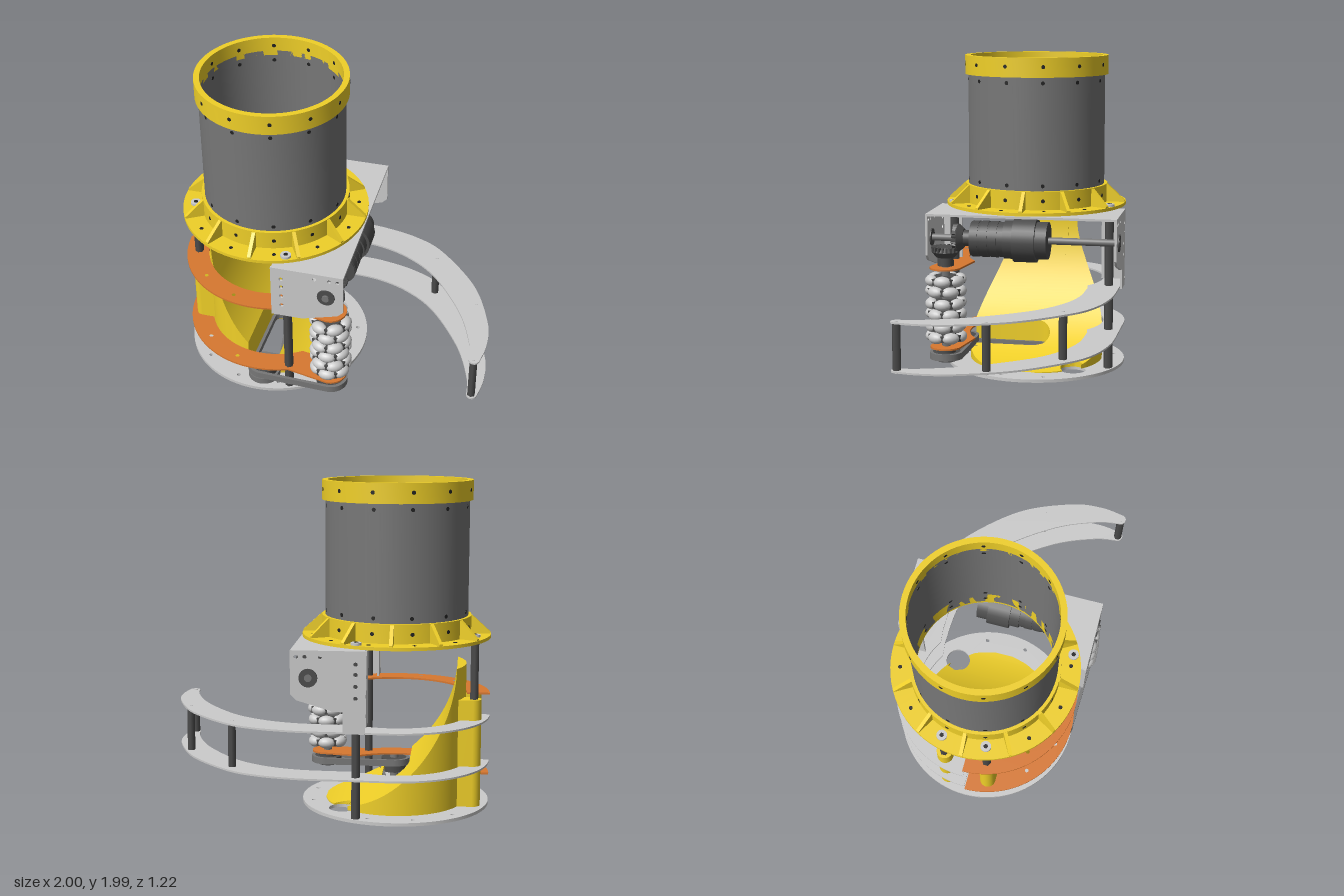
import * as THREE from 'three';
import { toCreasedNormals } from 'three/addons/utils/BufferGeometryUtils.js';

const CX = -0.425, CZ = -0.01; // main axis
const PI = Math.PI;
const mat = (color, side = THREE.FrontSide) => new THREE.MeshStandardMaterial({ color, side });
const grey = mat(0xcccccc), steel = mat(0x777777), dark = mat(0x4c4c4c), black = mat(0x222222);
const yellow = mat(0xf0d028), yellow2 = mat(0xf0d028, THREE.DoubleSide), orange = mat(0xd87830);

export function createModel() {
  const root = new THREE.Group();
  const add = (name, geo, m, x = 0, y = 0, z = 0) => {
    const mesh = new THREE.Mesh(geo, m);
    mesh.name = name;
    mesh.position.set(x, y, z);
    root.add(mesh);
    return mesh;
  };
  const crease = (g) => toCreasedNormals(g, 0.6);
  const post = (name, x, z, y0, y1, r, m, seg = 24, rTop = r) =>
    add(name, new THREE.CylinderGeometry(rTop, r, y1 - y0, seg), m, x, (y0 + y1) / 2, z);
  const axle = (name, z0, z1, r0, r1, m, seg = 32) => {
    const c = add(name, new THREE.CylinderGeometry(r1, r0, z1 - z0, seg), m, 0.05, 0.877, (z0 + z1) / 2);
    c.rotation.x = PI / 2;
  };
  const circle = (x, y, r) => new THREE.Path().absarc(x, y, r, 0, 2 * PI, true);
  // horizontal plate: the shape is drawn in (x, z)
  const plate = (name, shape, y, t, m) => {
    const g = new THREE.ExtrudeGeometry(shape, { depth: t, bevelEnabled: false, curveSegments: 40 });
    return add(name, crease(g.rotateX(PI / 2)), m, 0, y + t, 0);
  };
  // ring of rectangular section about the main axis
  const ring = (name, r0, r1, y0, y1, m) => {
    const p = [[r0, y0], [r1, y0], [r1, y1], [r0, y1], [r0, y0]].map((a) => new THREE.Vector2(...a));
    add(name, crease(new THREE.LatheGeometry(p, 72)), m, CX, 0, CZ);
  };

  // tube, top rim and ribbed mounting flange
  ring('tube', 0.42, 0.435, 1.06, 1.9, steel);
  ring('topRim', 0.42, 0.455, 1.87, 1.99, yellow);
  ring('flangeCollar', 0.42, 0.455, 1.04, 1.175, yellow);
  ring('flangeDisc', 0.42, 0.575, 1.04, 1.06, yellow);
  const ribShape = new THREE.Shape([[0.445, 1.05], [0.572, 1.05], [0.572, 1.07], [0.46, 1.172], [0.445, 1.172]]
    .map((a) => new THREE.Vector2(...a)));
  for (let i = 0; i < 12; i++) {
    const g = new THREE.ExtrudeGeometry(ribShape, { depth: 0.022, bevelEnabled: false }).translate(0, 0, -0.011);
    add('flangeRib', g, yellow, CX, 0, CZ).rotation.y = i * PI / 6;
    const a = (i + 0.5) * PI / 6;
    // screw holes around the tube and rims
    for (const [y, r] of [[1.115, 0.4375], [1.205, 0.4275], [1.835, 0.4275], [1.935, 0.4375]]) {
      const t = r > 0.43 ? 0.038 : 0.018;
      const h = add('screwHole', new THREE.CylinderGeometry(0.012, 0.012, t, 12), black,
        CX + r * Math.cos(a), y, CZ + r * Math.sin(a));
      h.rotation.set(0, -a, PI / 2);
    }
    post('flangeHole', CX + 0.515 * Math.cos(a), CZ + 0.515 * Math.sin(a), 1.038, 1.062, 0.012, black, 12);
  }

  // base plate
  const base = new THREE.Shape().absarc(CX, CZ, 0.575, 0, 2 * PI, false);
  base.holes.push(circle(CX, CZ, 0.27), circle(-0.12, -0.3, 0.08));
  for (let i = 0; i < 12; i++) {
    const a = (i + 0.5) * PI / 6;
    if (i !== 10) base.holes.push(circle(CX + 0.515 * Math.cos(a), CZ + 0.515 * Math.sin(a), 0.012));
  }
  plate('basePlate', base, 0, 0.02, grey);

  // curved ramp: round plan under a concave profile, with a belt slot and a round hole
  const R = 0.43, SX = -0.42, SR = 0.09, HX = -0.12, HZ = -0.3, HR = 0.08, B = 0.02;
  const height = (x) => {
    const t = Math.min(1, Math.max(0, -x / 0.8));
    return B + 0.005 + 0.85 * (1 - Math.pow(1 - Math.pow(t, 1.9), 1 / 1.9));
  };
  const half = (x, r, c) => Math.sqrt(Math.max(0, r * r - (x - c) ** 2));
  const spans = (x, xm) => {
    const w = half(x, R, CX), e = [CZ - w];
    if (Math.abs(xm - HX) < HR) {
      const s = half(x, HR, HX);
      e.push(Math.max(e[0], HZ - s), Math.max(e[0], HZ + s));
    }
    e.push(Math.abs(xm - SX) < SR ? CZ - half(x, SR, SX) : CZ + w);
    return e;
  };
  const pos = [];
  const quad = (a, b, c, d) => pos.push(...a, ...b, ...c, ...a, ...c, ...d);
  const xs = [SX - SR, SX + SR, HX - HR, HX + HR];
  for (let i = 0; i < 8; i++) xs.push(CX - R + 0.055 * (i / 8) ** 2);
  for (let i = 0; i <= 56; i++) xs.push(-0.8 * Math.cos(i / 56 * PI / 2));
  xs.sort((a, b) => a - b);
  // the part beyond the slot is just a gap, open to the front
  for (let i = 0; i + 1 < xs.length; i++) {
    const x0 = xs[i], x1 = xs[i + 1], xm = (x0 + x1) / 2;
    if (x1 - x0 < 1e-6) continue;
    const p = spans(x0, xm), q = spans(x1, xm), h0 = height(x0), h1 = height(x1);
    for (let k = 0; k < p.length; k += 2) {
      if (p[k + 1] - p[k] + q[k + 1] - q[k] < 1e-4) continue;
      quad([x0, h0, p[k]], [x0, h0, p[k + 1]], [x1, h1, q[k + 1]], [x1, h1, q[k]]);
      quad([x0, B, p[k + 1]], [x1, B, q[k + 1]], [x1, h1, q[k + 1]], [x0, h0, p[k + 1]]);
      quad([x1, B, q[k]], [x0, B, p[k]], [x0, h0, p[k]], [x1, h1, q[k]]);
    }
  }
  for (const s of [-1, 1]) {
    const x = SX + s * SR, z = CZ + half(x, R, CX), h = height(x);
    const c = [[x, B, CZ], [x, h, CZ], [x, h, z], [x, B, z]];
    quad(...(s < 0 ? c : c.reverse()));
  }
  const rampGeo = new THREE.BufferGeometry();
  rampGeo.setAttribute('position', new THREE.Float32BufferAttribute(pos, 3));
  add('ramp', crease(rampGeo), yellow2);
  // stiffening ribs below the ramp
  for (let i = 0; i < 16; i++) {
    const a = i * PI / 8;
    if (Math.abs(a - PI / 2) < 0.5) continue;
    const g = new THREE.PlaneGeometry(0.25, 1, 8, 1), v = g.attributes.position;
    for (let j = 0; j < v.count; j++) {
      const r = v.getX(j) + 0.285, x = CX + r * Math.cos(a), top = height(x) - 0.004;
      v.setXYZ(j, x, v.getY(j) > 0 ? top : Math.min(top, 0.04), CZ + r * Math.sin(a));
    }
    g.computeVertexNormals();
    add('rampRib', g, yellow2);
  }
  // sleeves on the ramp's outer wall
  for (const z of [-0.15, 0.12]) {
    post('postSleeve', -0.9, z, 0.02, 0.68, 0.05, yellow);
    add('sleeveWeb', new THREE.BoxGeometry(0.1, 0.66, 0.1), yellow, -0.85, 0.35, z);
  }

  // frame posts with their bolt heads
  for (const [x, z, y0] of [[-0.905, -0.15, 0.68], [-0.905, 0.12, 0.68], [-0.22, -0.51, 0.02], [-0.22, 0.485, 0.02]]) {
    post('framePost', x, z, y0, 1.04, 0.028, dark, 6);
    post('boltHead', x, z, 1.06, 1.075, 0.032, grey, 20);
    post('boltSocket', x, z, 1.07, 1.077, 0.014, black, 6);
  }

  // orange brackets that carry the roller column
  const arc = new THREE.Shape();
  arc.absarc(CX, CZ, 0.575, PI, 1.2, true);
  arc.absarc(0.05, 0.48, 0.1, 1.6, -1.2, true);
  arc.absarc(CX, CZ, 0.435, 0.95, PI, false);
  arc.holes.push(circle(-0.78, 0.35, 0.012), circle(-0.56, 0.487, 0.012));
  for (const y of [0.175, 0.68]) plate('rollerBracket', arc, y, 0.011, orange);

  // long curved guide arms and spacers
  const vec = (l) => l.map((a) => new THREE.Vector2(...a));
  const arm = new THREE.Shape();
  arm.absarc(CX, CZ, 0.575, PI, 1.5 * PI, false);
  arm.lineTo(0, -0.58);
  arm.splineThru(vec([[0.15, -0.57], [0.37, -0.52], [0.57, -0.41], [0.83, -0.12], [0.97, 0.2], [0.998, 0.4], [0.98, 0.55]]));
  arm.absarc(0.948, 0.548, 0.032, 0.1, 2.9, false);
  arm.splineThru(vec([[0.89, 0.4], [0.78, 0.14], [0.57, -0.15], [0.37, -0.3], [0.15, -0.375], [-0.1, -0.39]]));
  arm.absarc(CX, CZ, 0.44, -1.0, -PI, true);
  for (const y of [0.26, 0.545]) plate('guideArm', arm, y, 0.011, grey);
  for (const [x, z] of [[0.545, -0.34], [0.875, 0.045], [0.945, 0.548]]) {
    post('armSpacer', x, z, 0.27, 0.546, 0.025, dark, 6);
    post('spacerScrew', x, z, 0.25, 0.558, 0.012, grey, 12);
  }

  // drive bracket: top plate, two end plates and inner flanges
  const top = new THREE.Shape();
  top.moveTo(-0.28, -0.6).lineTo(0.155, -0.6).lineTo(0.155, 0.58).lineTo(-0.28, 0.58);
  top.absarc(CX, CZ, 0.425, 1.22, -1.22, true);
  plate('driveTopPlate', top, 1.024, 0.014, grey);
  const outline = [[-0.29, 0.68], [-0.1, 0.68], [0.12, 0.745], [0.155, 0.78], [0.155, 1.038], [-0.29, 1.038]];
  const tab = [[-0.28, 0.55], [-0.15, 0.55], [-0.15, 0.68]];
  for (const [z, pts] of [[0.568, outline], [-0.602, [...tab, ...outline.slice(1)]]]) {
    const s = new THREE.Shape(vec(pts));
    s.holes.push(circle(0.05, 0.877, 0.055));
    for (const y of [0.76, 0.83, 0.9, 0.96]) s.holes.push(circle(-0.225, y, 0.013));
    for (const x of [-0.02, 0.07, 0.12]) s.holes.push(circle(x, 1.0, 0.012));
    add('driveEndPlate', crease(new THREE.ExtrudeGeometry(s, { depth: 0.014, bevelEnabled: false })), grey, 0, 0, z);
  }
  add('frontInnerFlange', new THREE.BoxGeometry(0.014, 0.35, 0.12), grey, -0.28, 0.86, 0.51);
  add('backInnerFlange', new THREE.BoxGeometry(0.014, 0.44, 0.14), grey, -0.28, 0.81, -0.525);

  // drive shaft, motor and bevel gears
  axle('driveShaft', -0.61, 0.6, 0.022, 0.022, steel);
  for (const z of [-0.595, 0.575]) axle('shaftBearing', z - 0.014, z + 0.014, 0.054, 0.054, dark);
  axle('gearbox', 0.1, 0.31, 0.108, 0.108, dark);
  for (const z of [0.16, 0.22, 0.28]) axle('gearboxBand', z - 0.022, z + 0.022, 0.112, 0.112, dark);
  axle('gearboxNeck', 0.04, 0.1, 0.118, 0.118, dark);
  axle('motorCollar', -0.1, 0.04, 0.136, 0.136, dark);
  axle('motorCap', -0.17, -0.1, 0.115, 0.115, dark);
  axle('bevelHub', 0.31, 0.37, 0.05, 0.05, dark);
  axle('bevelGear', 0.36, 0.395, 0.06, 0.088, dark);
  axle('bevelFace', 0.395, 0.425, 0.088, 0.055, dark);
  const WX = 0.05, WZ = 0.48;
  post('bevelHub', WX, WZ, 0.7, 0.77, 0.05, dark);
  post('bevelGear', WX, WZ, 0.755, 0.79, 0.06, dark, 32, 0.088);
  post('bevelFace', WX, WZ, 0.79, 0.82, 0.088, dark, 32, 0.055);
  for (let i = 0; i < 20; i++) {
    const a = i * PI / 10, c = Math.cos(a) * 0.072, s = Math.sin(a) * 0.072;
    const t = new THREE.BoxGeometry(0.034, 0.03, 0.011);
    add('bevelTooth', t, dark, WX + c, 0.805, WZ + s).rotation.y = -a;
    add('bevelTooth', t, dark, WX + c, 0.877 + s, 0.41).rotation.set(PI / 2, -a, 0);
  }

  // column of omni-directional rollers
  post('rollerShaft', WX, WZ, 0.09, 0.78, 0.028, steel, 6);
  const roller = new THREE.SphereGeometry(1, 16, 12).scale(0.038, 0.036, 0.056);
  [0.61, 0.542, 0.464, 0.396, 0.318, 0.25].forEach((y, k) => {
    post('rollerHub', WX, WZ, y - 0.026, y + 0.026, 0.075, dark);
    for (let i = 0; i < 6; i++) {
      const a = (i + (k % 2) / 2) * PI / 3;
      add('roller', roller, grey, WX + 0.094 * Math.cos(a), y, WZ + 0.094 * Math.sin(a)).rotation.y = -a;
      const b = a + PI / 6;
      add('rollerFork', new THREE.BoxGeometry(0.06, 0.04, 0.022), dark,
        WX + 0.085 * Math.cos(b), y, WZ + 0.085 * Math.sin(b)).rotation.y = -b;
    }
  });

  // pulleys and two belts
  const PX = -0.39, PZ = 0.47;
  const belt = (ax, az, ra, bx, bz, rb, y, h) => {
    const d = Math.hypot(bx - ax, bz - az), f = Math.atan2(bz - az, bx - ax), al = Math.acos((ra - rb) / d);
    const loop = (s, o) => s.absarc(ax, az, ra - o, f + al, f - al + 2 * PI, false)
      .absarc(bx, bz, rb - o, f - al, f + al, false).closePath();
    const s = loop(new THREE.Shape(), 0);
    s.holes.push(loop(new THREE.Path(), 0.02));
    plate('belt', s, y, h, steel);
  };
  belt(PX, PZ, 0.1, WX, WZ, 0.105, 0.108, 0.042);
  belt(PX, PZ, 0.1, CX, -0.02, 0.058, 0.06, 0.042);
  post('idlerShaft', PX, PZ, 0.02, 0.175, 0.028, steel);
  post('idlerPulley', PX, PZ, 0.062, 0.148, 0.085, dark, 32);
  post('rollerPulley', WX, WZ, 0.11, 0.148, 0.09, dark, 32);
  post('rollerPulleyHub', WX, WZ, 0.09, 0.175, 0.06, dark);
  return root;
}
